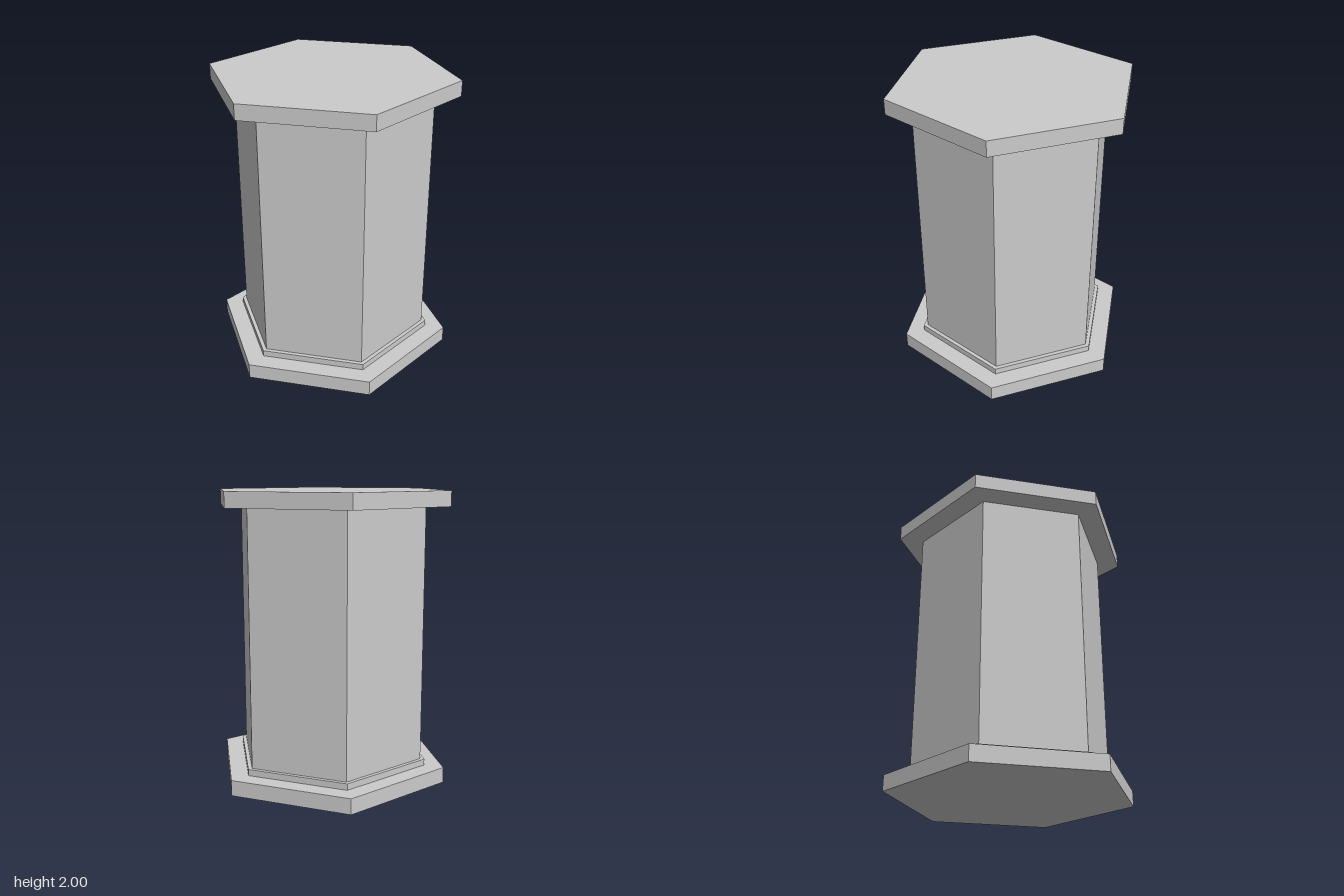
import * as THREE from 'three';

const material = new THREE.MeshStandardMaterial({ color: 0xcccccc, flatShading: true });

// Hexagonal prism with a corner facing the front
function hexPrism(name, radius, bottom, top) {
  const geometry = new THREE.CylinderGeometry(radius, radius, top - bottom, 6);
  const mesh = new THREE.Mesh(geometry, material);
  mesh.name = name;
  mesh.position.y = (bottom + top) / 2;
  return mesh;
}

export function createModel() {
  const group = new THREE.Group();
  group.name = 'hexagonalPedestal';
  group.add(
    hexPrism('basePlate', 0.843, 0, 0.108),
    hexPrism('baseStep', 0.707, 0.108, 0.152),
    hexPrism('column', 0.677, 0.152, 1.896),
    hexPrism('topPlate', 0.843, 1.896, 2),
  );
  return group;
}
